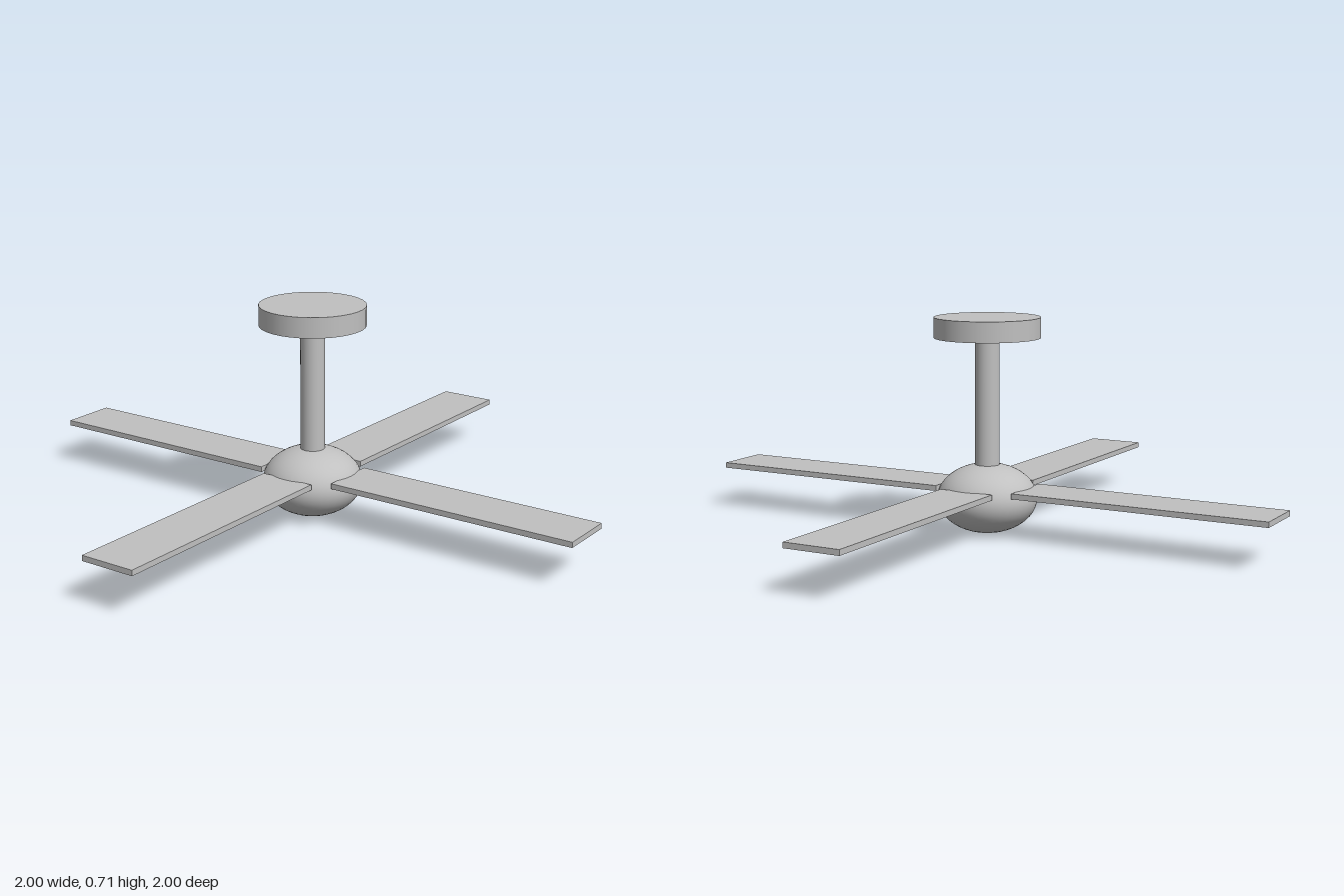
import * as THREE from 'three';

export function createModel() {
  const model = new THREE.Group();
  model.name = 'ceilingFan';
  const grey = new THREE.MeshStandardMaterial({ color: 0xc0c0c0 });
  grey.name = 'light grey';

  const add = (name, geometry, y, parent = model) => {
    const mesh = new THREE.Mesh(geometry, grey);
    mesh.name = name;
    mesh.position.y = y;
    parent.add(mesh);
    return mesh;
  };

  // Ceiling plate and hanging rod, which runs down into the motor
  add('ceilingPlate', new THREE.CylinderGeometry(0.174, 0.174, 0.067, 32), 0.6735);
  add('rod', new THREE.CylinderGeometry(0.04, 0.04, 0.46, 32), 0.41);

  // Flattened round motor housing
  const housing = new THREE.SphereGeometry(1, 40, 24).scale(0.164, 0.114, 0.164);
  add('motorHousing', housing, 0.114);

  // Four flat blades, their square inner ends set into the housing
  const inner = 0.14;
  const outer = 1;
  const bladeGeometry = new THREE.BoxGeometry(outer - inner, 0.018, 0.19);
  bladeGeometry.translate((inner + outer) / 2, 0, 0);
  const blades = new THREE.Group();
  blades.name = 'blades';
  for (let i = 0; i < 4; i++) {
    add('blade', bladeGeometry, 0.147, blades).rotation.y = (i * Math.PI) / 2;
  }
  model.add(blades);

  return model;
}
